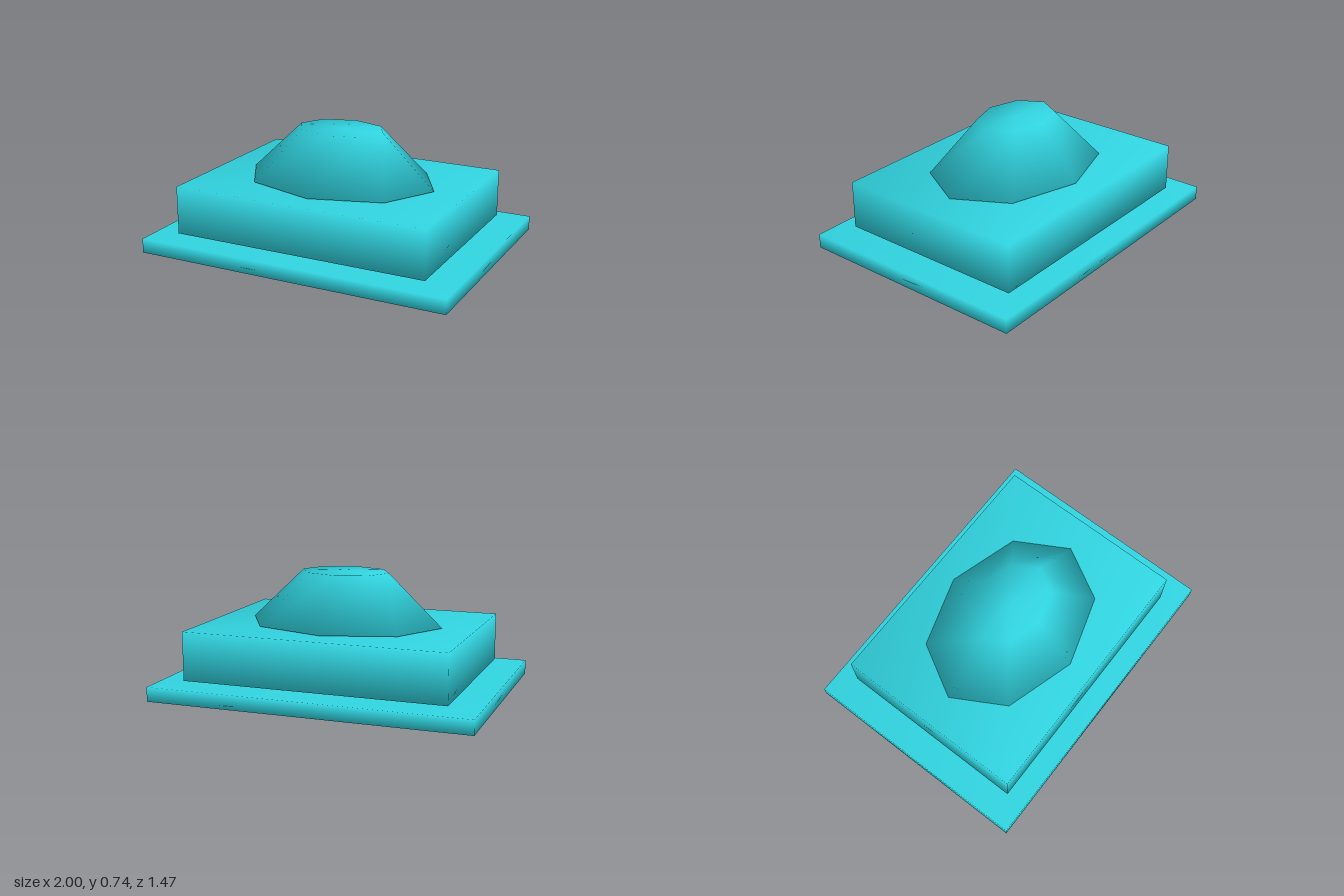
import * as THREE from 'three';
import { mergeVertices } from 'three/addons/utils/BufferGeometryUtils.js';

// Weld shared corners so shading flows smoothly over every edge
function weld(geometry) {
  geometry.deleteAttribute('normal');
  geometry.deleteAttribute('uv');
  const welded = mergeVertices(geometry, 1e-4);
  welded.computeVertexNormals();
  return welded;
}

export function createModel() {
  const model = new THREE.Group();
  model.name = 'steppedPedestal';
  const turquoise = new THREE.MeshStandardMaterial({ color: 0x30d2de });
  turquoise.name = 'turquoise';

  // Place a part with its underside at the given height
  function addPart(name, geometry, bottom, height) {
    const mesh = new THREE.Mesh(weld(geometry), turquoise);
    mesh.name = name;
    mesh.position.y = bottom + height / 2;
    model.add(mesh);
  }

  // Thin base slab
  addPart('basePlate', new THREE.BoxGeometry(2, 0.09, 1.47), 0, 0.09);

  // Thick middle block, floating just above the slab
  addPart('middleBlock', new THREE.BoxGeometry(1.64, 0.302, 1.21), 0.113, 0.302);

  // Tapered eight-sided crown, flattened front to back
  const crown = new THREE.CylinderGeometry(0.28, 0.62, 0.32, 8);
  crown.scale(1, 1, 0.737);
  addPart('crown', crown, 0.42, 0.32);

  return model;
}
